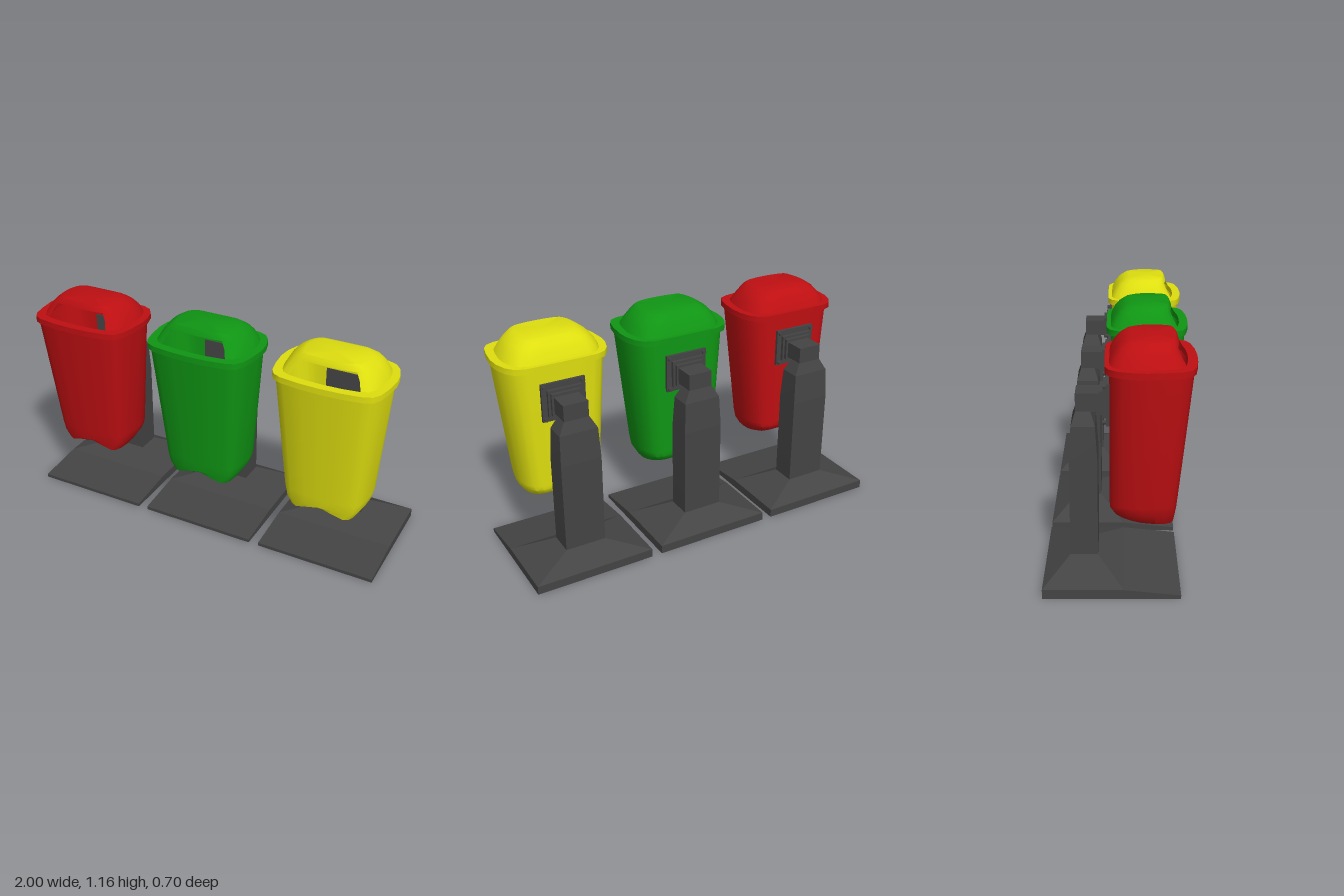
import * as THREE from 'three';
import { toCreasedNormals } from 'three/addons/utils/BufferGeometryUtils.js';

// Outlines run back -> right -> front -> left; u scales the half width, v goes back (0) to front (1)
const half = [[0.34, 0], [0.64, 0.005], [0.8, 0.05], [0.91, 0.15], [0.98, 0.3], [1, 0.45],
  [0.97, 0.66], [0.92, 0.82], [0.84, 0.91], [0.7, 0.955], [0.35, 0.99]];
const BIN = [[0, 0], ...half, [0, 1], ...[...half].reverse().map(([u, v]) => [-u, v])];
const RECT = [[-1, 0], [1, 0], [1, 1], [-1, 1]];

// Ring of points; y may be a number or a rule of (u, v)
function ring(outline, y, hx, zBack, zFront) {
  return outline.map(([u, v]) => new THREE.Vector3(
    u * hx, typeof y === 'function' ? y(u, v) : y, zBack + (zFront - zBack) * v));
}

// Skin between rings listed upwards, with optional centre points closing the ends
function loft(rings, { bottom, top, skip = () => false, crease = 0.6 } = {}) {
  const pos = [];
  const tri = (...pts) => pts.forEach((p) => pos.push(p.x, p.y, p.z));
  const n = rings[0].length;
  for (let j = 0; j < n; j++) {
    const k = (j + 1) % n;
    for (let i = 0; i < rings.length - 1; i++) {
      if (skip(i, j)) continue;
      const a = rings[i][j], b = rings[i][k], c = rings[i + 1][j], d = rings[i + 1][k];
      tri(a, c, b);
      tri(b, c, d);
    }
    const last = rings[rings.length - 1];
    if (bottom) tri(bottom, rings[0][j], rings[0][k]);
    if (top) tri(top, last[k], last[j]);
  }
  const g = new THREE.BufferGeometry();
  g.setAttribute('position', new THREE.Float32BufferAttribute(pos, 3));
  return toCreasedNormals(g, crease);
}

function add(group, name, geometry, material) {
  const mesh = new THREE.Mesh(geometry, material);
  mesh.name = name;
  group.add(mesh);
  return mesh;
}

function box(group, name, hx, y0, y1, z0, z1, material) {
  add(group, name, new THREE.BoxGeometry(2 * hx, y1 - y0, z1 - z0), material)
    .position.set(0, (y0 + y1) / 2, (z0 + z1) / 2);
}

function makeStand(material) {
  const stand = new THREE.Group();
  stand.name = 'stand';

  // Floor slab, thinner towards the front
  const side = new THREE.Shape([[-0.35, 0], [0.28, 0], [0.28, 0.018], [0.02, 0.045], [-0.35, 0.045]]
    .map(([z, y]) => new THREE.Vector2(z, y)));
  const slab = new THREE.ExtrudeGeometry(side, { depth: 0.63, bevelEnabled: false });
  slab.rotateY(-Math.PI / 2).translate(0.315, 0, 0);
  add(stand, 'baseSlab', slab, material);

  // Sloped foot, post and tapered neck
  add(stand, 'foot', loft([
    ring(RECT, 0.045, 0.315, -0.35, 0.02),
    ring(RECT, 0.115, 0.107, -0.23, -0.1),
  ], { crease: 0.1 }), material);
  add(stand, 'post', loft([
    ring(RECT, 0.115, 0.107, -0.23, -0.1),
    ring(RECT, 0.59, 0.107, -0.23, -0.1),
    ring(RECT, 0.75, 0.1, -0.22, -0.11),
    ring(RECT, 0.81, 0.067, -0.2, -0.13),
  ], { top: new THREE.Vector3(0, 0.81, -0.165), crease: 0.05 }), material);

  // Arm and stepped mounting bracket
  box(stand, 'arm', 0.065, 0.808, 0.895, -0.2, -0.085, material);
  box(stand, 'bracketPlate', 0.115, 0.757, 0.955, -0.06, -0.04, material);
  box(stand, 'bracketStep', 0.088, 0.785, 0.925, -0.076, -0.06, material);
  box(stand, 'bracketCollar', 0.076, 0.797, 0.91, -0.092, -0.076, material);
  for (const sx of [-1, 1]) for (const sy of [-1, 1]) {
    const bolt = add(stand, 'bolt', new THREE.CylinderGeometry(0.01, 0.01, 0.016, 8), material);
    bolt.rotation.x = Math.PI / 2;
    bolt.position.set(sx * 0.1, 0.856 + sy * 0.084, -0.067);
  }
  return stand;
}

function makeBin(material) {
  const bin = new THREE.Group();
  bin.name = 'bin';

  // Tapered body; its lower edge rises at the back and in a notch at the front centre
  const lowerEdge = (u, v) => 0.3 + 0.045 * (1 - v) ** 2
    + (v > 0.9 ? 0.045 * Math.max(0, 1 - Math.abs(u) / 0.7) : 0);
  add(bin, 'body', loft([
    ring(BIN, 0.283, 0.12, 0.07, 0.19),
    ring(BIN, lowerEdge, 0.18, -0.03, 0.26),
    ring(BIN, (u, v) => 0.345 + 0.03 * (1 - v), 0.211, -0.045, 0.267),
    ring(BIN, 0.4, 0.22, -0.045, 0.273),
    ring(BIN, 1.03, 0.275, -0.045, 0.338),
  ], { bottom: new THREE.Vector3(0, 0.285, 0.13) }), material);

  // Lid rim, a band with an inner wall
  const outer = [0.29, -0.066, 0.349], inner = [0.25, -0.045, 0.305];
  add(bin, 'lidRim', loft([
    ring(BIN, 1.027, ...inner),
    ring(BIN, 1.027, ...outer),
    ring(BIN, 1.057, ...outer),
    ring(BIN, 1.057, ...inner),
    ring(BIN, 1.027, ...inner),
  ]), material);

  // Hood with the slot left open at the front
  const isFront = (j) => Math.abs(j + 0.5 - BIN.length / 2) < 2;
  add(bin, 'lidHood', loft([
    ring(BIN, 1.057, ...inner),
    ring(BIN, 1.095, 0.23, -0.027, 0.282),
    ring(BIN, 1.13, 0.2, 0, 0.265),
    ring(BIN, 1.152, 0.168, 0.03, 0.258),
    ring(BIN, 1.16, 0.148, 0.055, 0.253),
  ], { top: new THREE.Vector3(0, 1.16, 0.15), skip: (i, j) => i < 2 && isFront(j) }), material);
  return bin;
}

export function createModel() {
  const model = new THREE.Group();
  model.name = 'wasteBins';
  const dark = new THREE.MeshStandardMaterial({ color: 0x444444 });
  [['red', 0xbe0f12], ['green', 0x109614], ['yellow', 0xdede10]].forEach(([name, color], i) => {
    const unit = new THREE.Group();
    unit.name = name + 'Unit';
    const paint = new THREE.MeshStandardMaterial({ color, side: THREE.DoubleSide });
    unit.add(makeStand(dark), makeBin(paint));
    unit.position.x = (i - 1) * 0.685;
    model.add(unit);
  });
  return model;
}
